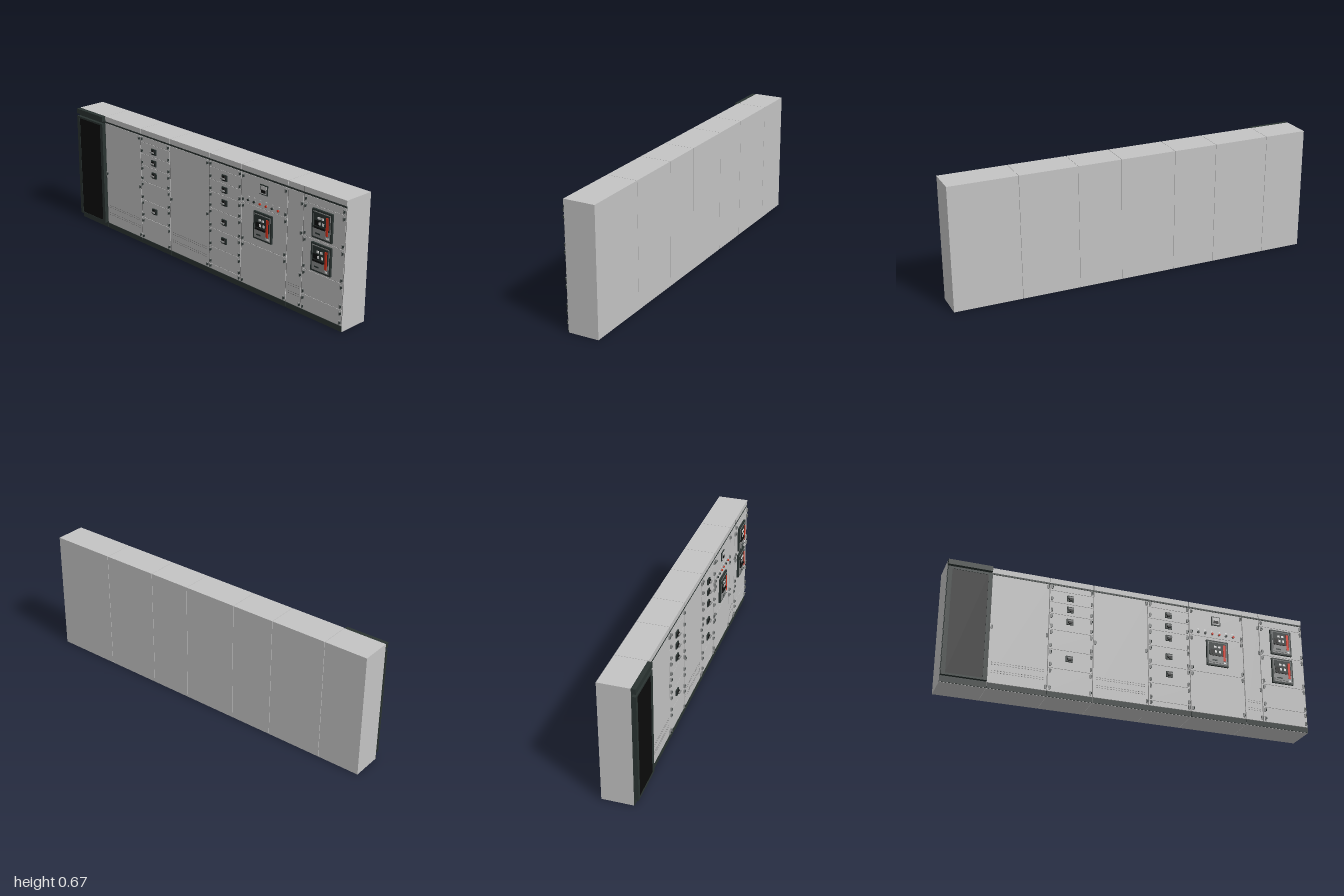
import * as THREE from 'three';

const mat = (name, color) => Object.assign(new THREE.MeshStandardMaterial({ color }), { name });

export function createModel() {
  const M = {
    grey: mat('cabinet grey', 0xc3c3c3),
    seam: mat('seam grey', 0x707070),
    dark: mat('frame dark', 0x2a3331),
    black: mat('glass black', 0x0b0b0b),
    steel: mat('hardware grey', 0x8a8c8c),
    red: mat('signal red', 0xd8321c),
    white: mat('button white', 0xf0f0f0),
  };
  const root = new THREE.Group();
  root.name = 'switchboard';
  const FACE = 0.073, BASE = 0.07, BACK = -0.095, TOP = 0.67;

  // Box given by its limits
  function slab(parent, name, m, x0, x1, y0, y1, z0, z1) {
    const mesh = new THREE.Mesh(new THREE.BoxGeometry(x1 - x0, y1 - y0, z1 - z0), M[m]);
    mesh.position.set((x0 + x1) / 2, (y0 + y1) / 2, (z0 + z1) / 2);
    mesh.name = name;
    parent.add(mesh);
    return mesh;
  }
  // Box given by its centre on the front plane
  const plate = (p, name, m, x, y, w, h, z0, z1) =>
    slab(p, name, m, x - w / 2, x + w / 2, y - h / 2, y + h / 2, z0, z1);
  function disc(parent, name, m, x, y, r, z0, z1) {
    const mesh = new THREE.Mesh(new THREE.CylinderGeometry(r, r, z1 - z0, 14), M[m]);
    mesh.rotation.x = Math.PI / 2;
    mesh.position.set(x, y, (z0 + z1) / 2);
    mesh.name = name;
    parent.add(mesh);
  }

  // Cabinet carcasses
  const edges = [-1, -0.767, -0.46, -0.22, 0.083, 0.32, 0.635, 1];
  const cabinets = edges.slice(0, -1).map((x0, i) => {
    const g = new THREE.Group(), x1 = edges[i + 1];
    g.name = 'cabinet' + (i + 1);
    root.add(g);
    const a = i === 0 ? x0 : x0 + 0.001, b = i === 6 ? x1 : x1 - 0.001;
    slab(g, 'carcass', 'grey', a, b, 0, TOP, BACK, BASE);
    slab(g, 'plinth', 'dark', a, b, 0.001, 0.03, BASE, FACE);
    if (i > 0) {
      slab(g, 'doorBacking', 'seam', a, b, 0.03, 0.633, BASE, 0.0708);
      slab(g, 'topRail', 'dark', a, b, 0.633, 0.642, BASE, FACE);
      slab(g, 'topPanel', 'grey', x0 + 0.002, i === 6 ? b : x1 - 0.002, 0.642, TOP, BASE, FACE);
    }
    return g;
  });

  // Hinge or latch on a door edge
  const latch = (g, x, y) => {
    plate(g, 'latch', 'steel', x, y, 0.008, 0.02, FACE, 0.081);
    plate(g, 'latchPin', 'dark', x + 0.004, y, 0.003, 0.012, FACE, 0.083);
  };
  // Stack of doors split at the given heights, with latches on both sides
  function doors(g, x0, x1, splits) {
    const ys = [0.031, ...splits, 0.632];
    for (let i = 0; i < ys.length - 1; i++) {
      slab(g, 'door', 'grey', x0 + 0.0022, x1 - 0.0022, ys[i] + 0.001, ys[i + 1] - 0.001, BASE, FACE);
      if (splits.length) for (const x of [x0 + 0.012, x1 - 0.012]) {
        latch(g, x, ys[i] + 0.018);
        if (ys[i + 1] - ys[i] > 0.08) latch(g, x, ys[i + 1] - 0.018);
      }
    }
  }
  // Rows of ventilation slots
  function vents(g, x0, x1, count) {
    for (const y of [0.143, 0.132, 0.099, 0.088])
      for (let i = 0; i < count; i++)
        plate(g, 'ventSlot', 'seam', x0 + (x1 - x0) * i / (count - 1), y, 0.007, 0.003, FACE, 0.0735);
  }
  // Rotary drawer handle
  function handle(g, x, y) {
    plate(g, 'handlePlate', 'dark', x, y, 0.036, 0.032, FACE, 0.08);
    disc(g, 'handleDial', 'black', x, y, 0.012, 0.08, 0.086);
    plate(g, 'handleGrip', 'steel', x, y, 0.026, 0.007, 0.086, 0.094);
  }
  // Air circuit breaker face
  function breaker(g, x, y) {
    const b = new THREE.Group();
    b.name = 'breaker';
    b.position.set(x, y, 0);
    g.add(b);
    plate(b, 'breakerFrame', 'dark', 0, 0, 0.125, 0.146, FACE, 0.084);
    plate(b, 'breakerBezel', 'steel', 0, 0, 0.108, 0.128, 0.084, 0.0855);
    plate(b, 'breakerFace', 'dark', 0, 0.02, 0.1, 0.08, 0.0855, 0.087);
    plate(b, 'lowerCover', 'steel', -0.01, -0.037, 0.08, 0.04, 0.0855, 0.089);
    plate(b, 'redStrip', 'red', 0.037, 0.004, 0.013, 0.092, 0.087, 0.0905);
    plate(b, 'display', 'black', -0.028, 0.008, 0.03, 0.026, 0.087, 0.088);
    for (const bx of [-0.015, 0.008]) {
      plate(b, 'button', 'white', bx, 0.035, 0.014, 0.011, 0.087, 0.09);
      plate(b, 'indicator', 'white', bx + 0.004, 0.008, 0.011, 0.014, 0.087, 0.089);
    }
    plate(b, 'chargeHandle', 'black', -0.01, -0.014, 0.07, 0.008, 0.087, 0.092);
    plate(b, 'keyLock', 'white', 0.04, -0.054, 0.012, 0.008, 0.0855, 0.088);
    plate(b, 'lowerLabel', 'dark', -0.02, -0.044, 0.03, 0.008, 0.089, 0.0895);
  }

  // Cabinet 1: dark framed glass door
  const c1 = cabinets[0];
  slab(c1, 'frontPanel', 'dark', -1, -0.769, 0.03, TOP, BASE, FACE);
  slab(c1, 'headStrip', 'dark', -0.999, -0.769, 0.641, 0.669, FACE, 0.093);
  slab(c1, 'doorCore', 'dark', -0.997, -0.77, 0.034, 0.626, FACE, 0.088);
  slab(c1, 'doorStile', 'dark', -0.999, -0.977, 0.033, 0.627, 0.082, 0.093);
  slab(c1, 'doorStile', 'dark', -0.791, -0.769, 0.033, 0.627, 0.082, 0.093);
  slab(c1, 'doorRail', 'dark', -0.977, -0.791, 0.033, 0.043, 0.082, 0.093);
  slab(c1, 'doorRail', 'dark', -0.977, -0.791, 0.617, 0.627, 0.082, 0.093);
  slab(c1, 'glass', 'black', -0.977, -0.791, 0.043, 0.617, 0.088, 0.0905);

  // Cabinets 2 and 4: full height vented doors
  for (const i of [1, 3]) {
    const g = cabinets[i], x0 = edges[i], x1 = edges[i + 1];
    doors(g, x0, x1, []);
    vents(g, x0 + 0.022, x1 - 0.022, 18);
    for (const y of [0.05, 0.335, 0.615]) latch(g, x1 - 0.01, y);
    latch(g, x0 + 0.01, 0.335);
  }

  // Cabinets 3 and 5: drawer stacks with handles
  const stacks = [
    [2, -0.348, [0.16, 0.265, 0.375, 0.467, 0.533, 0.6], [0.22, 0.43, 0.5, 0.565]],
    [4, 0.2, [0.06, 0.16, 0.265, 0.375, 0.467, 0.533, 0.6], [0.22, 0.322, 0.43, 0.5, 0.565]],
  ];
  for (const [i, x, splits, ys] of stacks) {
    doors(cabinets[i], edges[i], edges[i + 1], splits);
    ys.forEach(y => handle(cabinets[i], x, y));
  }

  // Cabinet 6: meter, pilot lamps and breaker
  const c6 = cabinets[5];
  doors(c6, 0.32, 0.635, [0.265, 0.475]);
  plate(c6, 'meterFrame', 'dark', 0.477, 0.577, 0.052, 0.052, FACE, 0.078);
  plate(c6, 'meterFace', 'grey', 0.477, 0.577, 0.042, 0.042, 0.078, 0.08);
  plate(c6, 'meterDisplay', 'black', 0.477, 0.57, 0.028, 0.016, 0.08, 0.081);
  ['dark', 'dark', 'red', 'red', 'dark', 'red'].forEach((m, i) => {
    const x = 0.372 + i * 0.041;
    disc(c6, 'lampRing', 'steel', x, 0.497, 0.0075, FACE, 0.077);
    disc(c6, 'lamp', m, x, 0.497, 0.0055, 0.077, 0.083);
    plate(c6, 'lampTag', 'white', x, 0.515, 0.012, 0.005, FACE, 0.074);
  });
  breaker(c6, 0.478, 0.382);

  // Cabinet 7: cable compartment and breaker doors
  const c7 = cabinets[6];
  doors(c7, 0.635, 0.737, []);
  vents(c7, 0.655, 0.72, 5);
  for (const y of [0.05, 0.21, 0.43, 0.58]) latch(c7, 0.728, y);
  doors(c7, 0.737, 1, [0.115, 0.25, 0.422, 0.595]);
  slab(c7, 'topSeam', 'seam', 0.735, 0.738, 0.642, 0.669, FACE, 0.0735);
  for (const y of [0.508, 0.337]) breaker(c7, 0.863, y);

  return root;
}
